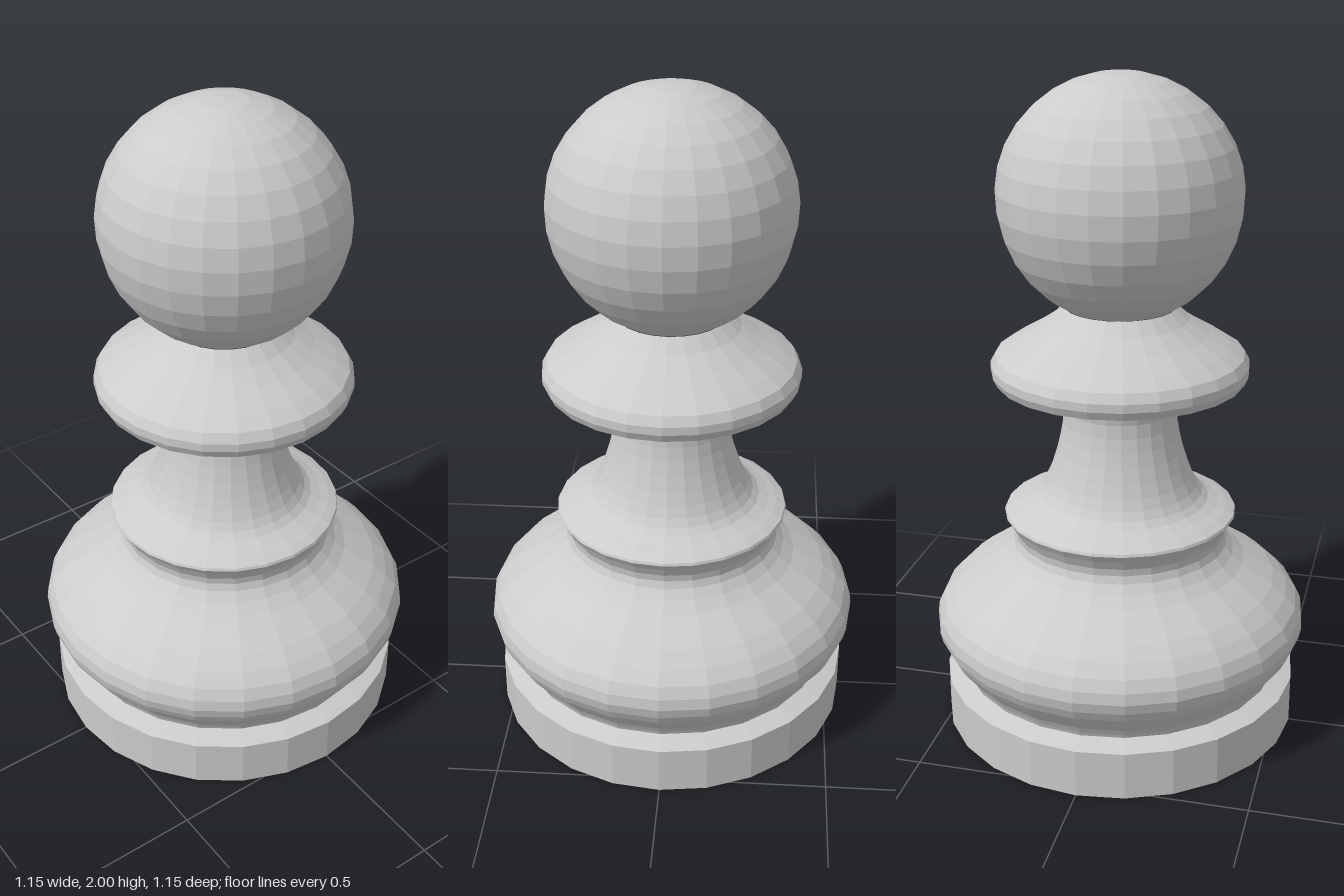
import * as THREE from 'three';

const SIDES = 24;
const material = new THREE.MeshStandardMaterial({ color: 0xcccccc, flatShading: true });

const toPoints = (pairs) => pairs.map(([r, y]) => new THREE.Vector2(r, y));

// Smooth profile through a few [radius, height] points
const smooth = (pairs, steps) => new THREE.SplineCurve(toPoints(pairs)).getPoints(steps);

// Turn a bottom-to-top profile into a named faceted part
function turned(name, profile) {
  const mesh = new THREE.Mesh(new THREE.LatheGeometry(profile, SIDES), material);
  mesh.name = name;
  return mesh;
}

// Head: slightly longer below its widest ring, cut off at the neck
function headProfile() {
  const radius = 0.358, centre = 1.655, below = 0.37, above = 0.345;
  const start = -Math.asin((centre - 1.325) / below);
  const points = [];
  const rows = 14;
  for (let i = 0; i <= rows; i++) {
    const a = start + (Math.PI / 2 - start) * (i / rows);
    const r = i === rows ? 0 : radius * Math.cos(a);
    points.push(new THREE.Vector2(r, centre + Math.sin(a) * (a < 0 ? below : above)));
  }
  return points;
}

export function createModel() {
  const model = new THREE.Group();
  model.name = 'pawn';

  // Flat disc with a shallow sloping top
  model.add(turned('base', toPoints([[0, 0], [0.548, 0], [0.548, 0.148], [0.49, 0.167]])));

  // Swelling body narrowing to a waist
  model.add(turned('belly', smooth([
    [0.49, 0.167], [0.505, 0.2], [0.55, 0.26], [0.574, 0.325], [0.553, 0.395],
    [0.48, 0.465], [0.385, 0.525], [0.33, 0.58], [0.325, 0.625], [0.355, 0.678],
  ], 18)));

  // Ledge rim
  model.add(turned('rim', toPoints([[0.355, 0.678], [0.352, 0.686], [0.325, 0.7]])));

  // Concave stem
  model.add(turned('stem', smooth([
    [0.325, 0.7], [0.27, 0.725], [0.235, 0.765], [0.205, 0.835],
    [0.18, 0.925], [0.17, 1.01], [0.185, 1.09],
  ], 12)));

  // Collar with flat underside, rounded edge and sloping top
  model.add(turned('collar', toPoints([
    [0.185, 1.09], [0.345, 1.095], [0.373, 1.105], [0.385, 1.13], [0.385, 1.155],
    [0.37, 1.183], [0.33, 1.21], [0.265, 1.248], [0.205, 1.288], [0.165, 1.325],
  ])));

  model.add(turned('head', headProfile()));
  return model;
}
